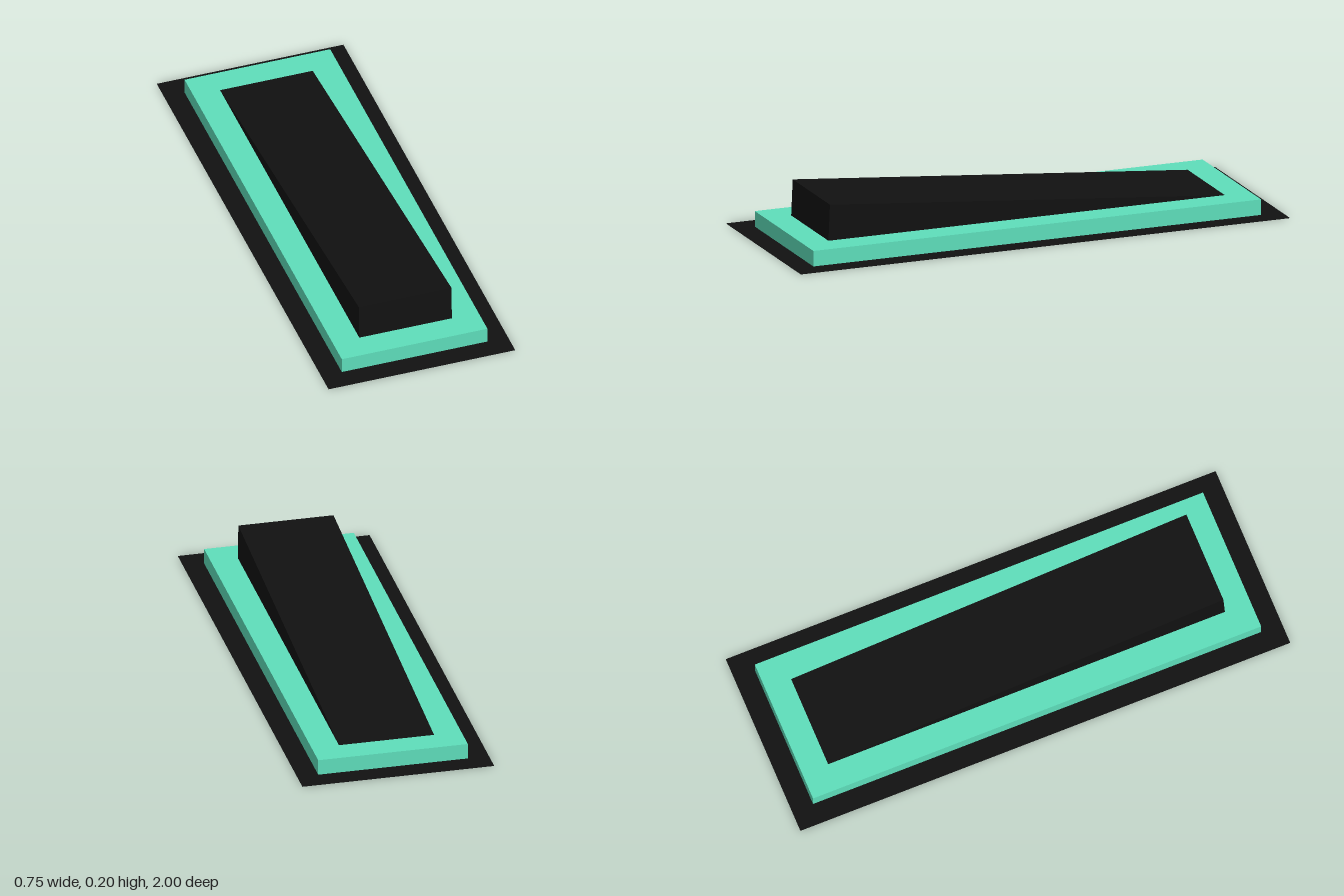
import * as THREE from 'three';

const material = (color) => new THREE.MeshStandardMaterial({ color, side: THREE.DoubleSide, flatShading: true });

// Flat rectangular ring lying at height y, facing up
function ring(name, outer, inner, y, mat) {
  const corners = ([x, z]) => [[-x, -z], [x, -z], [x, z], [-x, z]].map(([a, b]) => new THREE.Vector2(a, b));
  const shape = new THREE.Shape(corners(outer));
  shape.holes.push(new THREE.Path(corners(inner)));
  const mesh = new THREE.Mesh(new THREE.ShapeGeometry(shape).rotateX(-Math.PI / 2), mat);
  mesh.position.y = y;
  mesh.name = name;
  return mesh;
}

// Thin panels, each a convex polygon with counter-clockwise corners
function panels(name, faces, mat) {
  const pos = [];
  for (const f of faces)
    for (let i = 1; i < f.length - 1; i++) pos.push(...f[0], ...f[i], ...f[i + 1]);
  const geo = new THREE.BufferGeometry();
  geo.setAttribute('position', new THREE.Float32BufferAttribute(pos, 3));
  geo.computeVertexNormals();
  const mesh = new THREE.Mesh(geo, mat);
  mesh.name = name;
  return mesh;
}

export function createModel() {
  const group = new THREE.Group();
  group.name = 'wedgePanel';
  const black = material(0x111111);
  const teal = material(0x5edebb);

  const flange = [0.373, 1], tray = [0.291, 0.915], opening = [0.185, 0.81];
  const height = 0.061;

  // Base flange and raised, open-bottomed tray
  group.add(ring('baseFlange', flange, tray, 0, black));
  group.add(ring('trayTop', tray, opening, height, teal));
  const [tx, tz] = tray;
  const loop = [[-tx, tz], [tx, tz], [tx, -tz], [-tx, -tz]];
  group.add(panels('trayWalls', loop.map(([x, z], i) => {
    const [nx, nz] = loop[(i + 1) % 4];
    return [[x, 0, z], [nx, 0, nz], [nx, height, nz], [x, height, z]];
  }), teal));

  // Hollow wedge: lid hinged at the back edge and lifted by five degrees
  const [w, d] = opening;
  const tilt = THREE.MathUtils.degToRad(5);
  const lipY = height + 2 * d * Math.sin(tilt);
  const lipZ = -d + 2 * d * Math.cos(tilt);
  const back = (x) => [x, height, -d];
  const foot = (x) => [x, height, d];
  const lip = (x) => [x, lipY, lipZ];
  group.add(panels('wedgeLid', [[lip(-w), lip(w), back(w), back(-w)]], black));
  group.add(panels('wedgeFront', [[foot(-w), foot(w), lip(w), lip(-w)]], black));
  group.add(panels('wedgeSides', [
    [foot(w), back(w), lip(w)],
    [back(-w), foot(-w), lip(-w)],
  ], black));
  return group;
}
